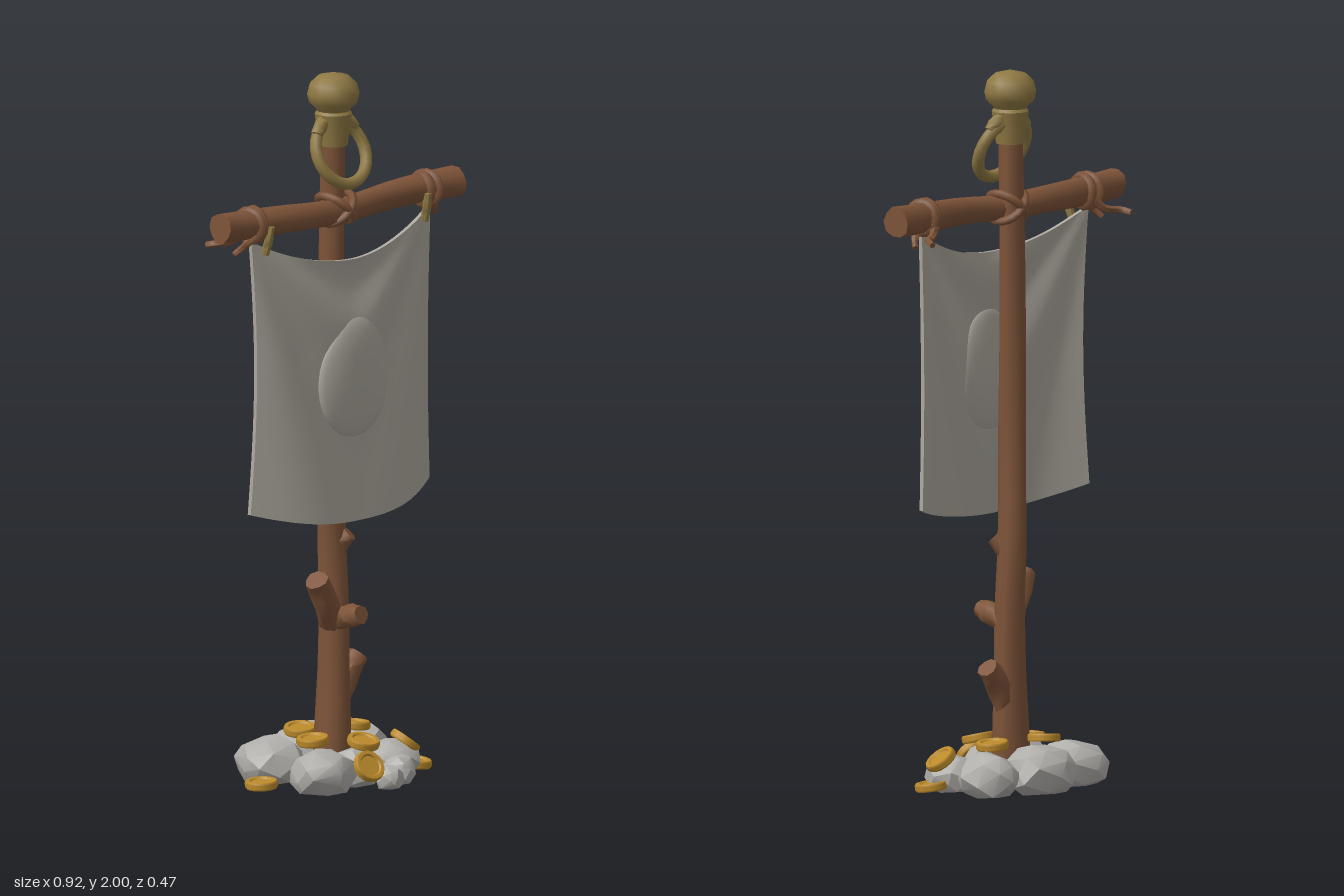
import * as THREE from 'three';
import { toCreasedNormals } from 'three/addons/utils/BufferGeometryUtils.js';
import { ConvexGeometry } from 'three/addons/geometries/ConvexGeometry.js';

const flat = (name, color) => {
  const m = new THREE.MeshStandardMaterial({ color });
  m.name = name;
  return m;
};
const V = (x, y, z) => new THREE.Vector3(x, y, z);

export function createModel() {
  const wood = flat('wood', 0x7d5338);
  const brass = flat('brass', 0x8e7843);
  const gold = flat('gold', 0xbb8a2b);
  const cloth = flat('cloth', 0xaca79d);
  const stone = flat('stone', 0xb0aeaa);
  const model = new THREE.Group();
  model.name = 'bannerPole';

  const add = (name, geometry, material, parent = model) => {
    const mesh = new THREE.Mesh(geometry, material);
    mesh.name = name;
    parent.add(mesh);
    return mesh;
  };

  // Small seeded random numbers
  let seed = 7;
  const rand = () => (seed = (seed * 16807) % 2147483647) / 2147483647;

  // Capped, slightly knobbly tube with radii spread along its path
  const limb = (points, radii, n = 12, sides = 10, bump = 0.06) => {
    const curve = new THREE.CatmullRomCurve3(points.map((p) => V(...p)));
    const geo = new THREE.TubeGeometry(curve, n, 1, sides, false);
    const pos = geo.attributes.position;
    const v = V(0, 0, 0);
    for (let j = 0; j <= n; j++) {
      const t = Math.min(1, Math.max(0, (j - 1) / (n - 2)));
      const k = t * (radii.length - 1);
      const i0 = Math.min(Math.floor(k), radii.length - 2);
      const r = j === 0 || j === n ? 0 : THREE.MathUtils.lerp(radii[i0], radii[i0 + 1], k - i0);
      const from = curve.getPointAt(j / n);
      const to = curve.getPointAt(t);
      for (let i = 0; i <= sides; i++) {
        const id = j * (sides + 1) + i;
        const a = (i / sides) * Math.PI * 2;
        v.fromBufferAttribute(pos, id).sub(from);
        v.multiplyScalar(r * (1 + bump * Math.sin(3 * a + 9 * t))).add(to);
        pos.setXYZ(id, v.x, v.y, v.z);
      }
    }
    return toCreasedNormals(geo, 0.9);
  };

  // Pole with cut branch stubs
  add('pole', limb(
    [[-0.005, 0.06, 0.015], [0, 0.3, 0.013], [0.003, 0.5, 0.008], [0.005, 0.68, -0.004],
      [0, 0.95, 0.002], [0, 1.4, 0.004], [0, 1.87, 0.008]],
    [0.055, 0.045, 0.041, 0.039, 0.038, 0.036, 0.035, 0.034], 24), wood);
  const stubs = [
    [[[0, 0.43, 0.01], [-0.045, 0.5, 0.03], [-0.085, 0.57, 0.04], [-0.1, 0.585, 0.045]], [0.035, 0.034, 0.037, 0.033]],
    [[[0, 0.46, 0.02], [0, 0.47, 0.06], [-0.005, 0.48, 0.105], [-0.005, 0.485, 0.125]], [0.04, 0.032, 0.033, 0.026]],
    [[[0.01, 0.22, 0.015], [0.04, 0.28, 0.015], [0.07, 0.32, 0.015], [0.09, 0.34, 0.015]], [0.035, 0.035, 0.035, 0.03]],
    [[[0.005, 0.63, 0], [0.02, 0.67, 0.02], [0.035, 0.695, 0.04]], [0.03, 0.026, 0.022]],
  ];
  stubs.forEach(([p, r]) => add('branchStub', limb(p, r, 8, 9), wood));

  // Crossbar
  add('crossbar', limb(
    [[-0.46, 1.632, 0.03], [-0.2, 1.618, 0.031], [0, 1.612, 0.032], [0.2, 1.625, 0.03], [0.457, 1.622, 0.028]],
    [0.042, 0.04, 0.036, 0.036, 0.04, 0.044], 16), wood);

  // Crossed lashing at the joint
  for (const s of [-1, 1]) {
    const g = new THREE.Group();
    g.name = 'lashing';
    g.position.set(0, 1.618, 0.02);
    g.rotation.z = s * 0.8;
    model.add(g);
    add('rope', new THREE.TorusGeometry(0.056, 0.012, 6, 18), wood, g).rotation.y = Math.PI / 2;
  }

  // Bar ties, loose rope ends and banner straps on both sides
  for (const s of [-1, 1]) {
    [-0.16, 0.2].forEach((tilt, i) => {
      const t = add('barTie', new THREE.TorusGeometry(0.041, 0.014, 6, 16), wood);
      t.position.set(s * (0.325 + i * 0.02), 1.623, 0.03);
      t.rotation.y = Math.PI / 2 + tilt;
    });
    add('ropeEnd', limb([[s * 0.33, 1.6, -0.005], [s * 0.36, 1.575, -0.02], [s * 0.4, 1.57, -0.04],
      [s * 0.414, 1.563, -0.07]], [0.014, 0.011, 0.01, 0.009], 8, 6), wood);
    add('ropeEnd', limb([[s * 0.34, 1.59, 0.04], [s * 0.37, 1.57, 0.035], [s * 0.39, 1.545, 0.015]],
      [0.013, 0.01, 0.008], 8, 6), wood);
    add('bannerStrap', limb([[s * 0.305, 1.62, 0.074], [s * 0.308, 1.58, 0.066], [s * 0.31, 1.54, 0.055]],
      [0.01, 0.013, 0.011], 7, 6), brass);
  }

  // Banner surface: bulges forward, with folds fanning from the upper corners
  const clothZ = (x, y) => {
    const u = x / 0.35;
    const v = Math.max(0, (1.58 - y) / 0.82);
    const dx = 0.36 - Math.sqrt(x * x + 0.002);
    const a = Math.atan2(1.6 - y, dx);
    const d = Math.min(1, Math.hypot(1.6 - y, dx) * 2.5);
    return 0.033 + (1 - u * u) * (0.048 + 0.028 * v) + 0.011 * d * (1 - u * u * 0.4) * Math.sin(a * 11 - 1);
  };
  const banner = new THREE.BoxGeometry(2, 1, 0.012, 36, 36, 1);
  let pos = banner.attributes.position;
  for (let i = 0; i < pos.count; i++) {
    const u = pos.getX(i);
    const v = 0.5 - pos.getY(i);
    const top = 1.485 + 0.093 * u * u;
    const bottom = 0.75 + 0.055 * u * u;
    const x = u * (0.348 - 0.016 * Math.sin(Math.PI * v));
    const y = THREE.MathUtils.lerp(top, bottom, v);
    pos.setXYZ(i, x, y, clothZ(x, y) + pos.getZ(i));
  }
  banner.computeVertexNormals();
  add('banner', banner, cloth);

  // Raised egg shape following the banner
  const egg = new THREE.SphereGeometry(1, 28, 20);
  pos = egg.attributes.position;
  for (let i = 0; i < pos.count; i++) {
    const ny = pos.getY(i);
    const x = pos.getX(i) * 0.13 * (1 - 0.14 * ny);
    const y = 1.155 + ny * 0.172;
    pos.setXYZ(i, x, y, clothZ(x, y) * 0.6 + 0.038 + pos.getZ(i) * 0.028);
  }
  egg.computeVertexNormals();
  add('eggEmblem', egg, cloth);

  // Finial knob with ferrule, and the hanging ring
  const lathe = (pts, sides) => toCreasedNormals(
    new THREE.LatheGeometry(pts.map((p) => new THREE.Vector2(...p)), sides), 0.75);
  add('finial', lathe([[0, 1.795], [0.04, 1.795], [0.046, 1.84], [0.052, 1.885], [0.046, 1.893],
    [0.05, 1.9], [0.068, 1.917], [0.073, 1.94], [0.066, 1.968], [0.043, 1.99], [0, 2]], 14), brass)
    .position.z = 0.01;
  const ring = add('ring', new THREE.TorusGeometry(0.091, 0.017, 8, 24), brass);
  ring.position.set(0, 1.778, 0.04);
  ring.rotation.x = -0.42;
  for (const s of [-1, 1]) {
    add('ringLug', limb([[s * 0.03, 1.87, 0.01], [s * 0.055, 1.855, 0.015], [s * 0.075, 1.835, 0.02]],
      [0.02, 0.02, 0.016], 7, 8), brass);
  }

  // Rocks: x, z, half width, height, half depth
  const rocks = [
    [-0.135, -0.1, 0.105, 0.125, 0.105], [0.04, -0.135, 0.115, 0.135, 0.108],
    [0.183, -0.07, 0.085, 0.12, 0.093], [-0.13, 0.1, 0.107, 0.12, 0.096],
    [0.17, 0.07, 0.08, 0.1, 0.08], [0.0, 0.105, 0.08, 0.11, 0.065],
    [0.035, 0.195, 0.046, 0.065, 0.044], [0.1, 0.165, 0.05, 0.08, 0.052],
  ];
  for (const [x, z, rx, h, rz] of rocks) {
    const pts = [];
    const n = 30;
    for (let i = 0; i < n; i++) {
      const cy = 1 - (2 * i + 1) / n;
      const r = Math.sqrt(1 - cy * cy);
      const a = i * 2.4 + rand() * 0.5;
      const k = 0.92 + rand() * 0.12;
      const y = h * 0.42 + cy * h * 0.62 * k;
      pts.push(V(x + Math.cos(a) * r * rx * k, Math.max(0, y), z + Math.sin(a) * r * rz * k));
    }
    add('rock', toCreasedNormals(new ConvexGeometry(pts), 0.55), stone);
  }

  // Coins with raised rims: x, y, z, tilt about x, tilt about z
  const coin = lathe([[0, -0.006], [0.029, -0.006], [0.033, -0.011], [0.043, -0.011], [0.046, -0.006],
    [0.046, 0.006], [0.043, 0.011], [0.033, 0.011], [0.029, 0.006], [0, 0.006]], 16);
  const coins = [
    [-0.05, 0.138, -0.07, 0.1, 0.1], [0.12, 0.132, -0.03, 0, -0.1], [-0.25, 0.022, -0.02, 0, 0.05],
    [-0.035, 0.07, 0.185, 0.95, 0.1], [0.003, 0.125, 0.125, 0.25, 0], [0.25, 0.022, 0.08, 0.1, -0.1],
    [0.205, 0.09, 0.085, 0.3, -0.6], [-0.1, 0.13, 0.03, 0, 0.1], [0, 0.05, 0, 0, 0],
  ];
  for (const [x, y, z, tx, tz] of coins) {
    const c = add('coin', coin, gold);
    c.position.set(x, y, z);
    c.rotation.set(tx, 0, tz);
  }
  return model;
}
